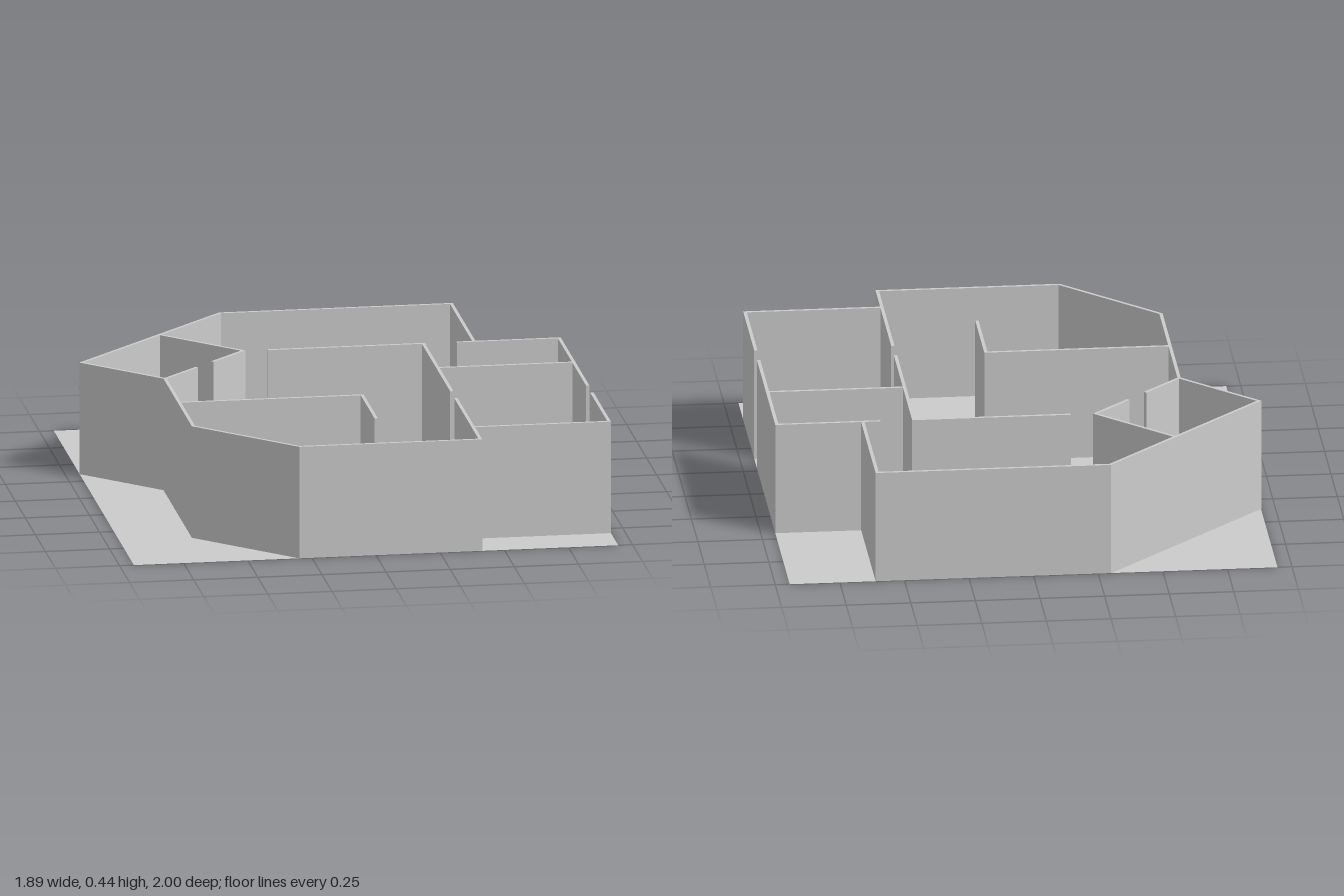
import * as THREE from 'three';

const HEIGHT = 0.445;
const HALF = 0.0065; // half the wall thickness
const material = new THREE.MeshStandardMaterial({ color: 0xcccccc, flatShading: true });

// Points of one side of a wall path, with mitred corners; points are [x, z]
function offsetSide(points, distance) {
  const p = points.map(([x, z]) => new THREE.Vector2(x, -z));
  const normals = p.slice(1).map((q, i) => {
    const d = q.clone().sub(p[i]).normalize();
    return new THREE.Vector2(-d.y, d.x);
  });
  return p.map((q, i) => {
    const a = normals[Math.max(i - 1, 0)];
    const b = normals[Math.min(i, normals.length - 1)];
    const mitre = a.clone().add(b).divideScalar(1 + a.dot(b));
    return q.clone().addScaledVector(mitre, distance);
  });
}

// Upright wall of even thickness along a path
function wall(name, points) {
  const outline = [...offsetSide(points, -HALF), ...offsetSide(points, HALF).reverse()];
  const geometry = new THREE.ExtrudeGeometry(new THREE.Shape(outline), { depth: HEIGHT, bevelEnabled: false });
  geometry.rotateX(-Math.PI / 2);
  const mesh = new THREE.Mesh(geometry, material);
  mesh.name = name;
  return mesh;
}

export function createModel() {
  const group = new THREE.Group();
  group.name = 'floorPlan';

  // Thin ground sheet
  const floorMaterial = material.clone();
  floorMaterial.side = THREE.DoubleSide;
  const floor = new THREE.Mesh(new THREE.PlaneGeometry(1.888, 2).rotateX(-Math.PI / 2), floorMaterial);
  floor.name = 'floor';
  group.add(floor);

  const walls = {
    // Outer shell: from the back right corner round to the front, up to the side door
    outerWall: [
      [0.605, -0.4365], [0.605, -0.9935], [-0.2975, -0.9935], [-0.936, -0.355], [-0.655, -0.074],
      [-0.655, 0.635], [-0.2965, 0.9935], [0.4075, 0.9935], [0.4075, 0.385],
    ],
    sideRoomFrontWall: [[0.414, 0.812], [0.9375, 0.812], [0.9375, 0.385]],
    sideRoomBackWall: [[0.9375, 0.283], [0.9375, -0.43], [0.537, -0.43]],
    // Inner partitions
    hallWall: [[-0.2, -0.43], [0.4075, -0.43], [0.4075, 0.283]],
    sideRoomPartition: [[0.414, -0.07], [0.931, -0.07]],
    frontRoomWall: [[-0.6485, 0.281], [0.058, 0.281], [0.058, 0.631]],
    // Slanted corner room with a doorway
    cornerRoomWall: [[-0.572, -0.71], [-0.295, -0.433], [-0.437, -0.291]],
    cornerRoomDoorSide: [[-0.509, -0.219], [-0.652, -0.076]],
  };
  for (const [name, points] of Object.entries(walls)) group.add(wall(name, points));

  return group;
}
